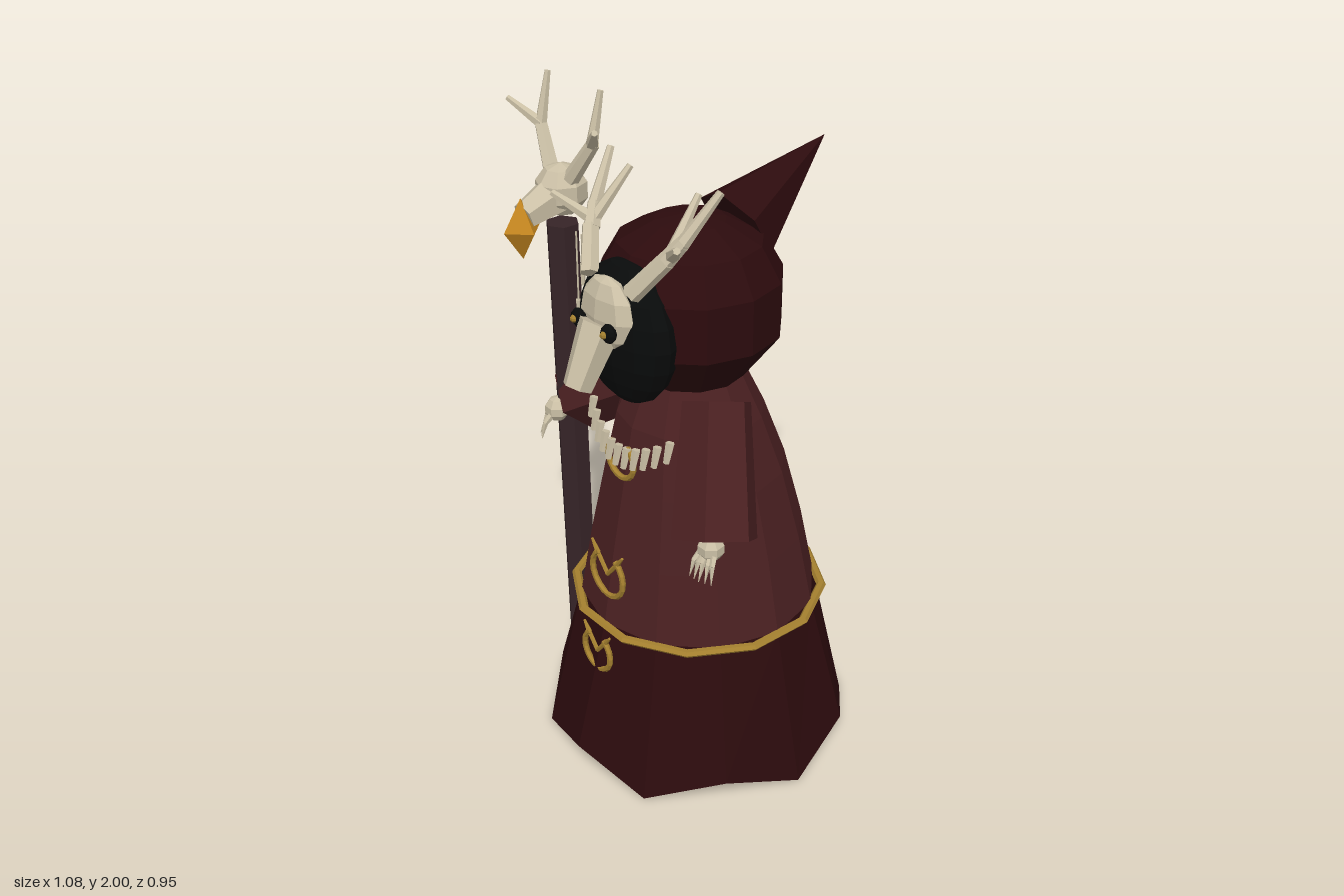
import * as THREE from 'three';

const mat = (name, color, side = THREE.FrontSide) => {
  const m = new THREE.MeshStandardMaterial({ color, flatShading: true, side });
  m.name = name;
  return m;
};
const V = (p) => new THREE.Vector3(...p);
const CX = 0.06; // the figure's own axis; the staff stands to its right

export function createModel() {
  const model = new THREE.Group();
  const robe = mat('robe cloth', 0x4a2021, THREE.DoubleSide);
  const dark = mat('dark red cloth', 0x2c0b0d, THREE.DoubleSide);
  const black = mat('black shadow', 0x090b0b);
  const bone = mat('bone', 0xcabfa5);
  const gold = mat('gold trim', 0xa4802f);
  const amber = mat('amber', 0xc4861f);
  const wood = mat('dark wood', 0x362427);

  const add = (name, geo, material, pos = [0, 0, 0], parent = model) => {
    const m = new THREE.Mesh(geo, material);
    m.name = name;
    m.position.set(...pos);
    parent.add(m);
    return m;
  };
  // tapered rod between two points
  const rod = (name, a, b, ra, rb, sides, material, parent = model) => {
    const p = V(a), q = V(b), d = q.clone().sub(p);
    const mid = p.clone().add(q).multiplyScalar(0.5).toArray();
    const m = add(name, new THREE.CylinderGeometry(rb, ra, d.length(), sides), material, mid, parent);
    m.quaternion.setFromUnitVectors(new THREE.Vector3(0, 1, 0), d.normalize());
    return m;
  };
  const group = (name, x = 0, y = 0, z = 0) => {
    const g = new THREE.Group();
    g.name = name;
    g.position.set(x, y, z);
    model.add(g);
    return g;
  };

  // twelve-sided cloth from rings [y, radius, z shift, extra height on even corners]
  const cloth = (rings, capY) => {
    const n = 12, pos = [], idx = [];
    for (const [y, r, dz = 0, wave = 0] of rings) {
      for (let i = 0; i < n; i++) {
        const a = (i / n) * Math.PI * 2;
        pos.push(CX + r * Math.sin(a), y + (i % 2 ? 0 : wave), dz + r * Math.cos(a));
      }
    }
    for (let k = 0; k < rings.length - 1; k++) {
      for (let i = 0; i < n; i++) {
        const a = k * n + i, b = k * n + (i + 1) % n;
        idx.push(a, b, b + n, a, b + n, a + n);
      }
    }
    if (capY !== undefined) {
      pos.push(CX, capY, 0);
      for (let i = 0; i < n; i++) idx.push(pos.length / 3 - 1, (i + 1) % n, i);
    }
    const g = new THREE.BufferGeometry();
    g.setAttribute('position', new THREE.Float32BufferAttribute(pos, 3));
    g.setIndex(idx);
    g.computeVertexNormals();
    return g;
  };
  add('skirt', cloth([[0.005, 0.475, 0, 0.08], [0.5, 0.362]], 0.06), dark);
  add('robeBody', cloth([[0.5, 0.362], [0.72, 0.32, 0.005], [0.94, 0.268, 0.014],
    [1.12, 0.215, 0.032], [1.25, 0.155, 0.035]]), robe);

  // belt
  const belt = add('belt', new THREE.TorusGeometry(0.379, 0.015, 6, 12).rotateZ(Math.PI / 12), gold, [CX, 0.498, 0]);
  belt.rotation.x = Math.PI / 2;
  belt.scale.z = 0.75;

  // hood, its backward peak and the dark opening
  const hoodProfile = [[0, 1.2], [0.16, 1.245], [0.262, 1.38], [0.262, 1.54], [0.205, 1.64], [0.1, 1.695], [0, 1.712]];
  add('hood', new THREE.LatheGeometry(hoodProfile.map((p) => new THREE.Vector2(...p)), 12), dark, [CX, 0, 0.035]);
  rod('hoodPeak', [CX, 1.63, -0.13], [CX, 1.82, -0.46], 0.13, 0.001, 6, dark);
  add('hoodOpening', new THREE.SphereGeometry(1, 14, 10), black, [CX, 1.425, 0.255]).scale.set(0.185, 0.207, 0.09);

  // sleeves
  rod('leftSleeve', [0.235, 1.222, 0.085], [0.37, 0.89, 0.205], 0.1, 0.125, 6, robe);
  rod('rightSleeve', [-0.08, 1.19, 0.07], [-0.33, 1.04, 0.13], 0.098, 0.116, 6, robe);

  // bony hands with clawed fingers
  const hand = (name, x, y, z, turn) => {
    const g = group(name, x, y, z);
    g.rotation.y = turn;
    add('palm', new THREE.SphereGeometry(0.04, 7, 5), bone, [0, 0, 0], g);
    for (let i = -2; i <= 2; i++) {
      const k = [0.016 * i, -0.035, 0.035];
      rod('finger', [0.011 * i, -0.01, 0.015], k, 0.011, 0.008, 5, bone, g);
      rod('claw', k, [0.019 * i, -0.085, 0.055 - 0.004 * Math.abs(i)], 0.008, 0.001, 5, bone, g);
    }
  };
  hand('leftHand', 0.378, 0.873, 0.225, 0.2);
  hand('rightHand', -0.335, 1.01, 0.225, -0.7);

  // skull mask
  const skull = group('skullMask', CX, 0, 0);
  add('cranium', new THREE.SphereGeometry(0.113, 8, 6), bone, [0, 1.495, 0.318], skull).scale.set(0.97, 0.98, 0.42);
  rod('snout', [0, 1.475, 0.345], [0, 1.31, 0.428], 0.062, 0.042, 6, bone, skull);
  for (const s of [-1, 1]) {
    const eye = add('eyeSocket', new THREE.SphereGeometry(0.027, 8, 6), black, [s * 0.066, 1.476, 0.368], skull);
    eye.scale.z = 0.7;
    add('pupil', new THREE.SphereGeometry(0.011, 6, 5), gold, [s * 0.066, 1.477, 0.384], skull);
  }

  // antlers: [start, end, radius at start, radius at end], mirrored
  const antlers = (parent, branches) => {
    for (const s of [-1, 1]) {
      for (const [a, b, ra, rb] of branches) {
        rod('antler', [s * a[0], a[1], a[2]], [s * b[0], b[1], b[2]], ra, rb, 6, bone, parent);
      }
    }
  };
  antlers(skull, [
    [[0.09, 1.58, 0.31], [0.16, 1.68, 0.25], 0.028, 0.025],
    [[0.155, 1.675, 0.25], [0.187, 1.73, 0.215], 0.025, 0.02],
    [[0.183, 1.72, 0.22], [0.228, 1.855, 0.125], 0.02, 0.011],
    [[0.165, 1.685, 0.245], [0.142, 1.825, 0.125], 0.02, 0.01],
    [[0.165, 1.69, 0.235], [0.265, 1.755, 0.3], 0.02, 0.01],
  ]);

  // staff with a small skull, an amber drop and hanging charms
  const staff = group('staff', -0.33, 0, 0);
  rod('staffPole', [0.012, 0.06, 0.17], [-0.003, 1.6, 0.18], 0.048, 0.05, 6, wood, staff);
  add('staffSkull', new THREE.SphereGeometry(0.078, 8, 5), bone, [0, 1.7, 0.18], staff);
  rod('staffSnout', [0, 1.69, 0.2], [0, 1.65, 0.31], 0.062, 0.042, 6, bone, staff);
  add('amberDrop', new THREE.OctahedronGeometry(0.06), amber, [0, 1.615, 0.32], staff).scale.y = 1.5;
  antlers(staff, [
    [[0.045, 1.74, 0.18], [0.125, 1.86, 0.155], 0.025, 0.019],
    [[0.12, 1.855, 0.157], [0.122, 2.0, 0.125], 0.018, 0.009],
    [[0.12, 1.855, 0.157], [0.205, 1.92, 0.21], 0.018, 0.009],
  ]);
  for (const [x, end] of [[-0.066, 1.39], [-0.046, 1.45], [0.062, 1.38], [0.088, 1.5]]) {
    rod('cord', [x, 1.59, 0.18], [x, end, 0.18], 0.003, 0.003, 5, bone, staff);
    rod('charm', [x, end, 0.18], [x, end - 0.065, 0.18], 0.009, 0.007, 5, bone, staff);
  }

  // tooth necklace
  for (let i = -5; i <= 5; i++) {
    const t = i / 5, x = CX + 0.172 * t, y = 1.085 + 0.065 * t * t, z = 0.303 - 0.045 * t * t;
    rod('necklaceTooth', [x, y, z - 0.01], [x, y - 0.06, z + 0.005], 0.013, 0.009, 5, bone);
  }

  // gold ring ornaments down the front, open at the top
  const ring = (y, z, r, horned) => {
    const g = group('goldOrnament', CX, y, z);
    const gap = 0.55;
    const arc = new THREE.TorusGeometry(r, 0.009, 6, 16, Math.PI * 2 - gap * 2);
    add('ring', arc.rotateZ(Math.PI / 2 + gap), gold, [0, 0, 0], g);
    if (!horned) return;
    for (const s of [-1, 1]) {
      rod('horn', [0, 0, 0], [s * r * 0.62, r * 0.75, 0], 0.007, 0.007, 6, gold, g);
      rod('hornTip', [s * r * 0.62, r * 0.75, 0], [s * r, r * 1.25, 0], 0.009, 0.004, 6, gold, g);
    }
  };
  ring(1.035, 0.288, 0.058, false);
  ring(0.668, 0.346, 0.072, true);
  ring(0.413, 0.392, 0.062, true);

  return model;
}
